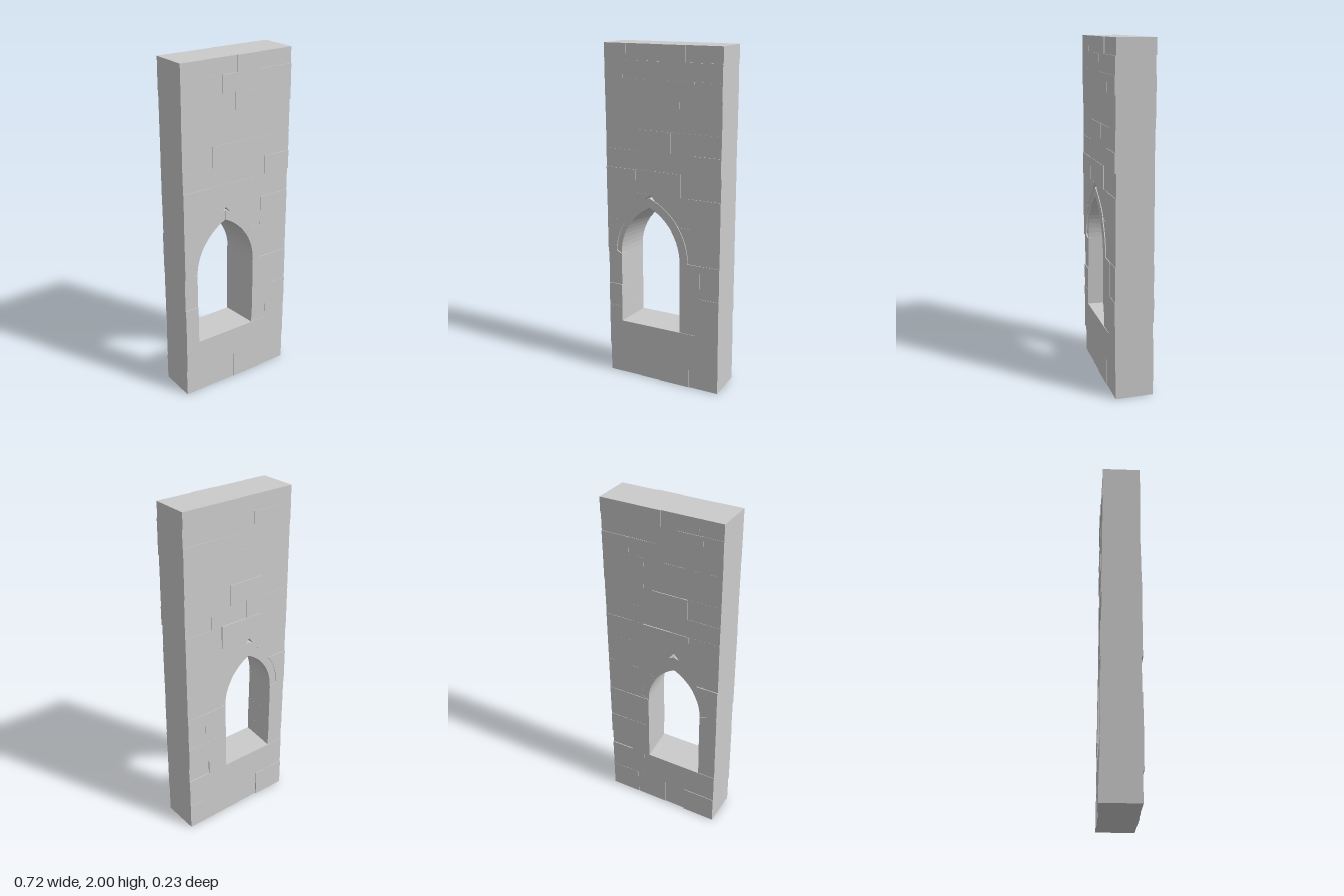
import * as THREE from 'three';

const HALF = 0.358;      // half width of the wall
const CX = -0.08;        // centre line of the window
const SILL = 0.345, SPRING = 0.78;

// Courses from the ground up: [bottom, top, vertical joints]
const COURSES = [
  [0, 0.165, [-0.155, -0.02, 0.175]],
  [0.165, 0.345, [0.13]],
  [0.345, 0.44, [CX, 0.215]],
  [0.44, 0.58, [CX]],
  [0.58, 0.78, [CX, 0.24]],
  [0.78, 0.99, [CX]],
  [0.99, 1.165, [CX, 0.165]],
  [1.165, 1.3, [-0.17, 0.115]],
  [1.3, 1.41, [-0.06, 0.185]],
  [1.41, 1.53, [-0.165, 0.055]],
  [1.53, 1.71, [-0.13, 0.105]],
  [1.71, 1.81, [-0.02, 0.195]],
  [1.81, 1.91, [-0.245, -0.1, 0.03]],
  [1.91, 2, [-0.22, -0.005, 0.14]],
];

let seed = 7;
const random = () => (seed = (seed * 16807) % 2147483647) / 2147483647;
const stoneDepth = () => 0.107 + 0.009 * random();

// Two-centred pointed arch; the opening narrows from front (t = 1) to back (t = 0)
function arch(t) {
  const w = 0.17 + 0.0225 * t, h = 0.27 + 0.035 * t;
  const R = (h * h + w * w) / (2 * w);
  return { w, R, c: R - w, band: 0.08 - 0.03 * t };
}

// Half width left free by the wall stones at height y
function clearance(y, t) {
  const { w, R, c, band } = arch(t);
  if (y <= SPRING + 1e-6) return w;
  const r = R + band * 0.6, dy = y - SPRING;
  const half = Math.max(0, Math.sqrt(Math.max(0, r * r - dy * dy)) - c);
  // small notch left open above the arch tip
  return y > 1.07 ? Math.max(half, (1.165 - y) * 0.8, 0) : half;
}

// Box whose corners are placed by place(u, v, t) -> [x, y]
function block(name, segments, place, material) {
  const g = new THREE.BoxGeometry(1, 1, 1, 1, segments, 1);
  const p = g.attributes.position;
  const front = stoneDepth(), back = stoneDepth();
  for (let i = 0; i < p.count; i++) {
    const t = p.getZ(i) > 0 ? 1 : 0;
    const [x, y] = place(p.getX(i) + 0.5, p.getY(i) + 0.5, t);
    p.setXYZ(i, x, y, t ? front : -back);
  }
  g.computeVertexNormals();
  const mesh = new THREE.Mesh(g, material);
  mesh.name = name;
  return mesh;
}

export function createModel() {
  const group = new THREE.Group();
  group.name = 'wallWithWindow';
  const material = new THREE.MeshStandardMaterial({ color: 0xcccccc, flatShading: true });

  // Wall stones, cut back where they meet the window
  COURSES.forEach(([y0, y1, joints], row) => {
    const course = new THREE.Group();
    course.name = `course${row + 1}`;
    const xs = [-HALF, ...joints, HALF];
    const open = y0 >= SILL && y1 < 1.17;
    for (let i = 0; i < xs.length - 1; i++) {
      const [a, b] = [xs[i], xs[i + 1]];
      const place = (u, v, t) => {
        const y = y0 + (y1 - y0) * v;
        let x = u > 0.5 ? b : a;
        if (open) {
          const c = clearance(y, t);
          x = b <= CX ? Math.min(x, CX - c) : Math.max(x, CX + c);
        }
        return [x, y];
      };
      course.add(block('stone', open && y0 >= SPRING ? 12 : 1, place, material));
    }
    group.add(course);
  });

  // Arch stones: two curved blocks on each side, meeting at the tip
  const ring = new THREE.Group();
  ring.name = 'windowArch';
  for (const side of [-1, 1]) {
    for (const [v0, v1] of [[0, 0.5], [0.5, 1]]) {
      ring.add(block('archStone', 6, (u, v, t) => {
        const { R, c, band } = arch(t);
        const r = R + band * (side > 0 ? u : 1 - u);
        const angle = (v0 + (v1 - v0) * v) * Math.acos(c / r);
        return [CX + side * (r * Math.cos(angle) - c), SPRING + r * Math.sin(angle)];
      }, material));
    }
  }
  group.add(ring);
  return group;
}
